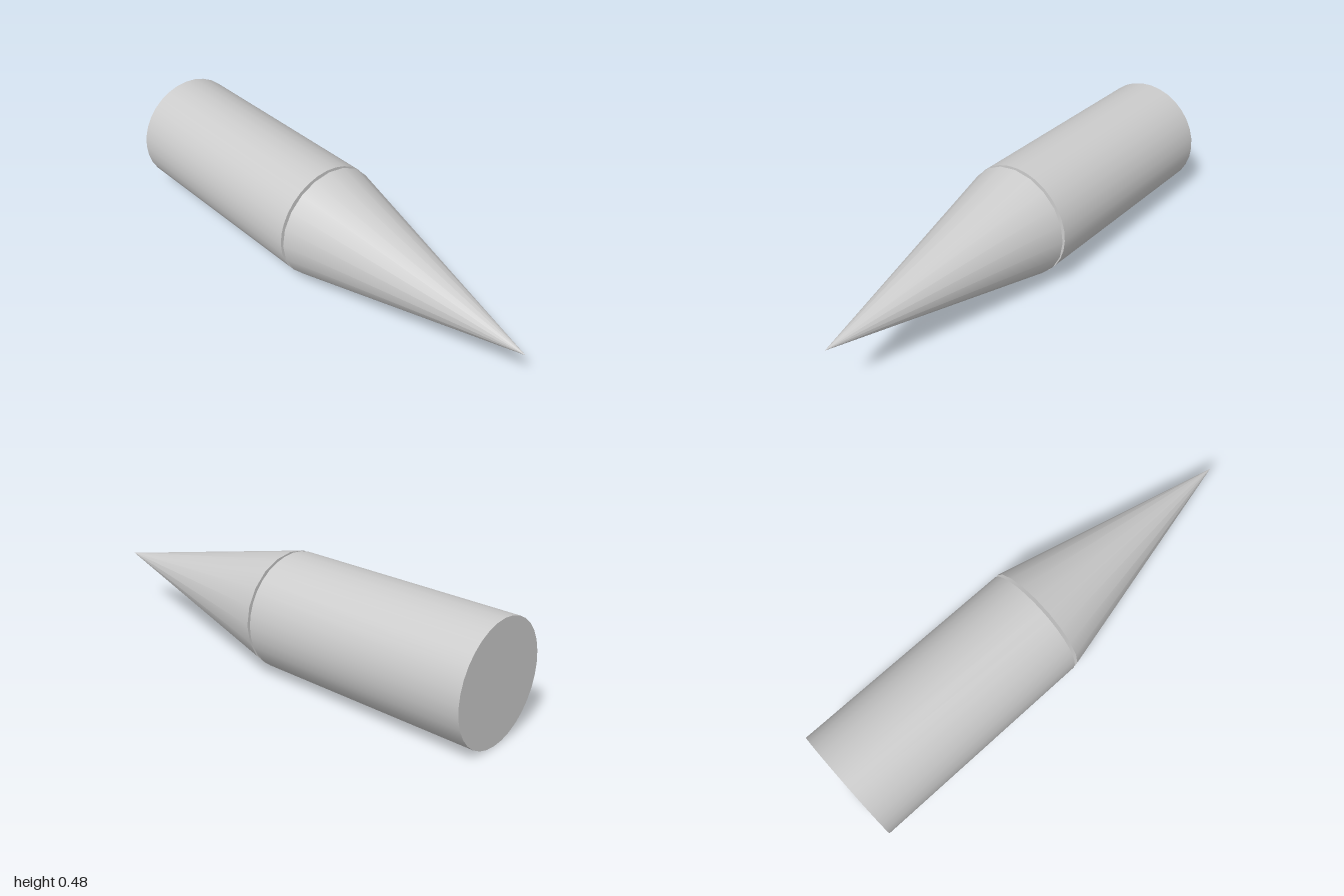
import * as THREE from 'three';

const RADIUS = 0.242;

export function createModel() {
  const group = new THREE.Group();
  const material = new THREE.MeshStandardMaterial({ color: 0xcccccc });

  // Lay a y-axis solid along z, spanning from back to front
  function addAlongZ(name, geometry, back, front) {
    geometry.rotateX(Math.PI / 2);
    const mesh = new THREE.Mesh(geometry, material);
    mesh.name = name;
    mesh.position.set(0, RADIUS, (back + front) / 2);
    group.add(mesh);
  }

  // Cylindrical body, closed at both ends
  const bodyBack = -1, bodyFront = -0.034;
  addAlongZ('body', new THREE.CylinderGeometry(RADIUS, RADIUS, bodyFront - bodyBack, 32), bodyBack, bodyFront);

  // Pointed tip, separated from the body by a thin gap
  const tipBack = -0.02, tipFront = 1;
  addAlongZ('tip', new THREE.ConeGeometry(RADIUS, tipFront - tipBack, 20), tipBack, tipFront);

  return group;
}
